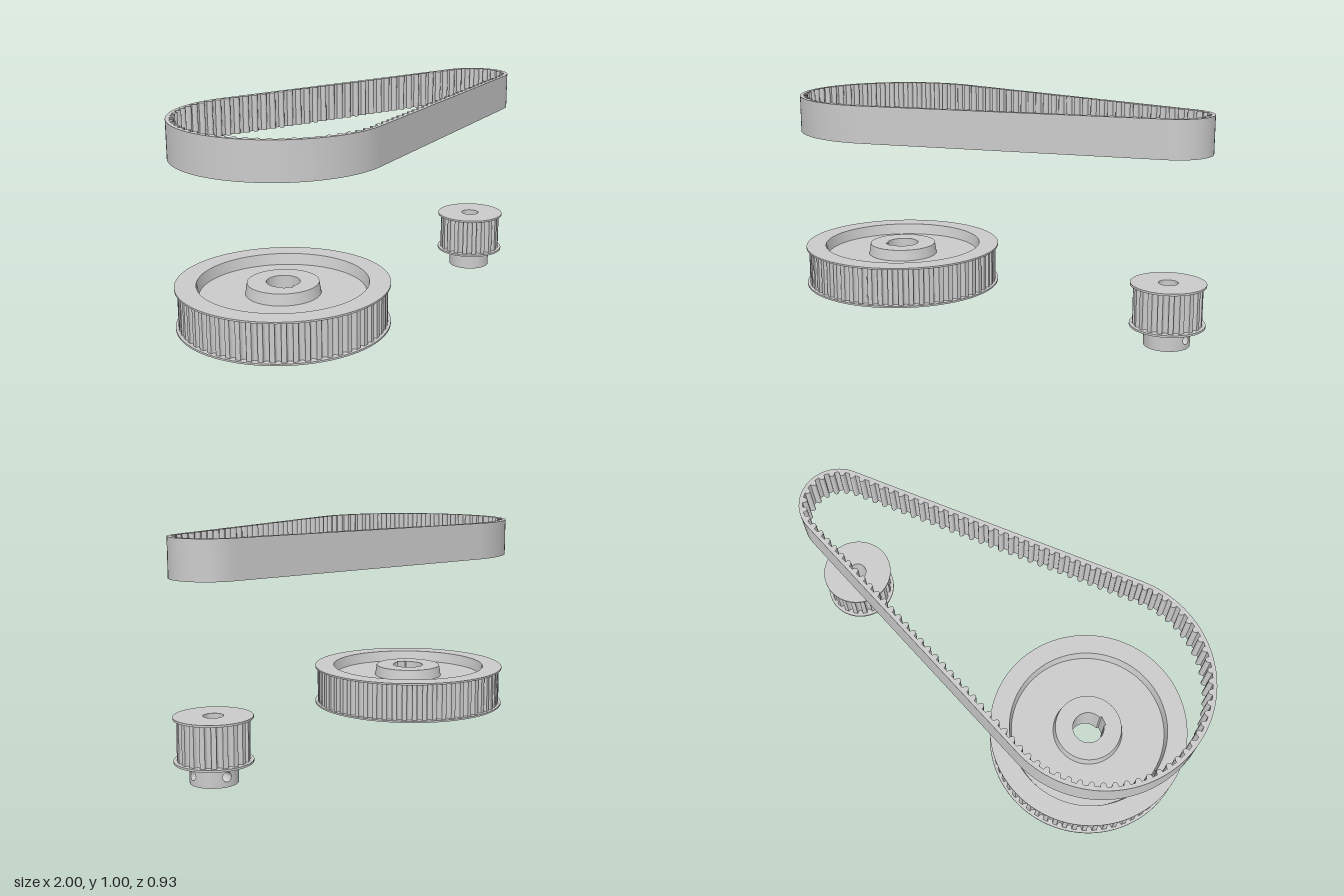
import * as THREE from 'three';
import { toCreasedNormals } from 'three/addons/utils/BufferGeometryUtils.js';

const material = new THREE.MeshStandardMaterial({ color: 0xcccccc });
const V = (x, y) => new THREE.Vector2(x, y);
const polar = (r, a) => V(r * Math.cos(a), r * Math.sin(a));
const DEG = Math.PI / 180;

// Shared tooth profile: half width, height and number of steps
const TOOTH = { w: 0.013, h: 0.018, steps: 8 };

function add(group, name, geometry) {
  const mesh = new THREE.Mesh(toCreasedNormals(geometry, 0.6), material);
  mesh.name = name;
  group.add(mesh);
  return mesh;
}

function lathe(points, start = 0, length = Math.PI * 2, segments = 96) {
  return new THREE.LatheGeometry(points.map(([r, y]) => V(r, y)), segments, start, length);
}

// Flat outline with one hole, extruded upward from y0 to y1
function extrudeUp(outer, hole, y0, y1) {
  const shape = new THREE.Shape(outer);
  shape.holes.push(new THREE.Path(hole));
  return new THREE.ExtrudeGeometry(shape, { depth: y1 - y0, bevelEnabled: false, steps: 1 })
    .rotateX(-Math.PI / 2).translate(0, y0, 0);
}

function circle(r, n = 96) {
  return Array.from({ length: n }, (_, i) => polar(r, (i / n) * Math.PI * 2));
}

// Ring with rounded grooves cut in its rim
function toothedRing(count, radius, inner, y0, y1) {
  const outline = [];
  for (let i = 0; i < count; i++) {
    for (let k = 0; k <= TOOTH.steps; k++) {
      const a = (k / TOOTH.steps) * Math.PI;
      const side = -TOOTH.w * Math.cos(a);
      outline.push(polar(radius - TOOTH.h * Math.sin(a), (i / count) * Math.PI * 2 + side / radius));
    }
  }
  return extrudeUp(outline, circle(inner), y0, y1);
}

function largePulley() {
  const g = new THREE.Group();
  g.name = 'largePulley';
  // Flanges, drum, recessed web and tapered hub
  add(g, 'largePulleyBody', lathe([
    [0.12, 0.09], [0.155, 0.09], [0.163, 0.14], [0.36, 0.14], [0.37, 0.09],
    [0.462, 0.09], [0.462, 0.098], [0.43, 0.098], [0.43, 0.267], [0.462, 0.267], [0.462, 0.275],
    [0.37, 0.275], [0.36, 0.225], [0.163, 0.225], [0.155, 0.275], [0.12, 0.275],
  ]));
  add(g, 'largePulleyTeeth', toothedRing(60, 0.45, 0.425, 0.098, 0.267));
  // Bore with keyway
  const bore = [];
  const dir = 240 * DEG, half = 0.022, r = 0.073, d = Math.asin(half / r);
  for (let i = 0; i <= 48; i++) bore.push(polar(r, dir + d + (i / 48) * (Math.PI * 2 - 2 * d)));
  for (const s of [-half, half]) bore.push(V(0.08, s).rotateAround(V(0, 0), dir));
  add(g, 'keyedBore', extrudeUp(circle(0.12), bore, 0.09, 0.275));
  g.position.x = -0.537;
  return g;
}

// Quarter of a hollow hub with a round screw hole through its wall
function drilledQuarter(outer, inner, height, hole) {
  const n = 8, rings = 5, rows = rings * 2 + 1;
  const geo = new THREE.PlaneGeometry(1, 1, n * 4, rows);
  const pos = geo.attributes.position;
  for (let j = 0; j <= rows; j++) {
    const r = j <= rings ? outer : inner;
    const t = j <= rings ? j / rings : (rows - j) / rings;
    for (let i = 0; i <= n * 4; i++) {
      // Walk round a square, blending it into the circle of the hole
      const f = ((i % n) / n) * 2 - 1;
      const [p, q] = [[-1, f], [f, 1], [1, -f], [-f, -1]][Math.floor(i / n) % 4];
      const len = Math.hypot(p, q);
      const s = THREE.MathUtils.lerp(p * r * Math.SQRT1_2, (hole * p) / len, t);
      const v = THREE.MathUtils.lerp((q * height) / 2, (hole * q) / len, t);
      pos.setXYZ(j * (n * 4 + 1) + i, s, height / 2 + v, Math.sqrt(r * r - s * s));
    }
  }
  return geo;
}

function smallPulley() {
  const g = new THREE.Group();
  g.name = 'smallPulley';
  const hub = 0.1, bore = 0.042, base = 0.085;
  // Flanges, drum and upper bore
  add(g, 'smallPulleyBody', lathe([
    [hub, base], [0.163, base], [0.163, 0.094], [0.125, 0.094], [0.125, 0.266],
    [0.163, 0.266], [0.163, 0.275], [bore, 0.275], [bore, base],
  ], 0, Math.PI * 2, 64));
  add(g, 'smallPulleyTeeth', toothedRing(20, 0.149, 0.122, 0.094, 0.266));
  // Hub: two drilled quarters and a plain half
  for (const angle of [76, 166]) {
    add(g, 'hubScrewHole', drilledQuarter(hub, bore, base, 0.02).rotateY(angle * DEG));
  }
  add(g, 'hubBack', lathe([[bore, base], [bore, 0], [hub, 0], [hub, base]], 211 * DEG, Math.PI, 32));
  add(g, 'hubEnd', lathe([[bore, 0], [hub, 0]], 31 * DEG, Math.PI, 32));
  g.position.x = 0.832;
  return g;
}

function belt() {
  const g = new THREE.Group();
  g.name = 'belt';
  const big = { x: -0.535, r: 0.449 }, small = { x: 0.833, r: 0.15 };
  const dist = small.x - big.x;
  const theta = Math.acos((big.r - small.r) / dist);
  const straight = dist * Math.sin(theta);
  const arcS = 2 * theta * small.r, arcB = 2 * (Math.PI - theta) * big.r;
  const total = arcS + arcB + 2 * straight;

  // Point at a distance along the loop, moved outward by off
  function at(s, off) {
    s = (s + total) % total;
    const onArc = (c, a, run = 0) => polar(c.r + off, a).add(V(c.x, 0)).add(polar(run, a + Math.PI / 2));
    if (s < arcS) return onArc(small, -theta + s / small.r);
    s -= arcS;
    if (s < straight) return onArc(small, theta, s);
    s -= straight;
    if (s < arcB) return onArc(big, theta + s / big.r);
    return onArc(big, -theta, s - arcB);
  }

  const outer = [], inner = [], teeth = 100;
  for (let i = 0; i < 240; i++) outer.push(at((i / 240) * total, 0.0165));
  for (let i = 0; i < teeth; i++) {
    for (let k = 0; k <= TOOTH.steps; k++) {
      const a = (k / TOOTH.steps) * Math.PI;
      inner.push(at((i / teeth) * total - TOOTH.w * Math.cos(a), -TOOTH.h * Math.sin(a)));
    }
  }
  add(g, 'toothedBelt', extrudeUp(outer, inner, 0.835, 1.0));
  return g;
}

export function createModel() {
  const model = new THREE.Group();
  model.name = 'beltDrive';
  model.add(largePulley(), smallPulley(), belt());
  return model;
}
